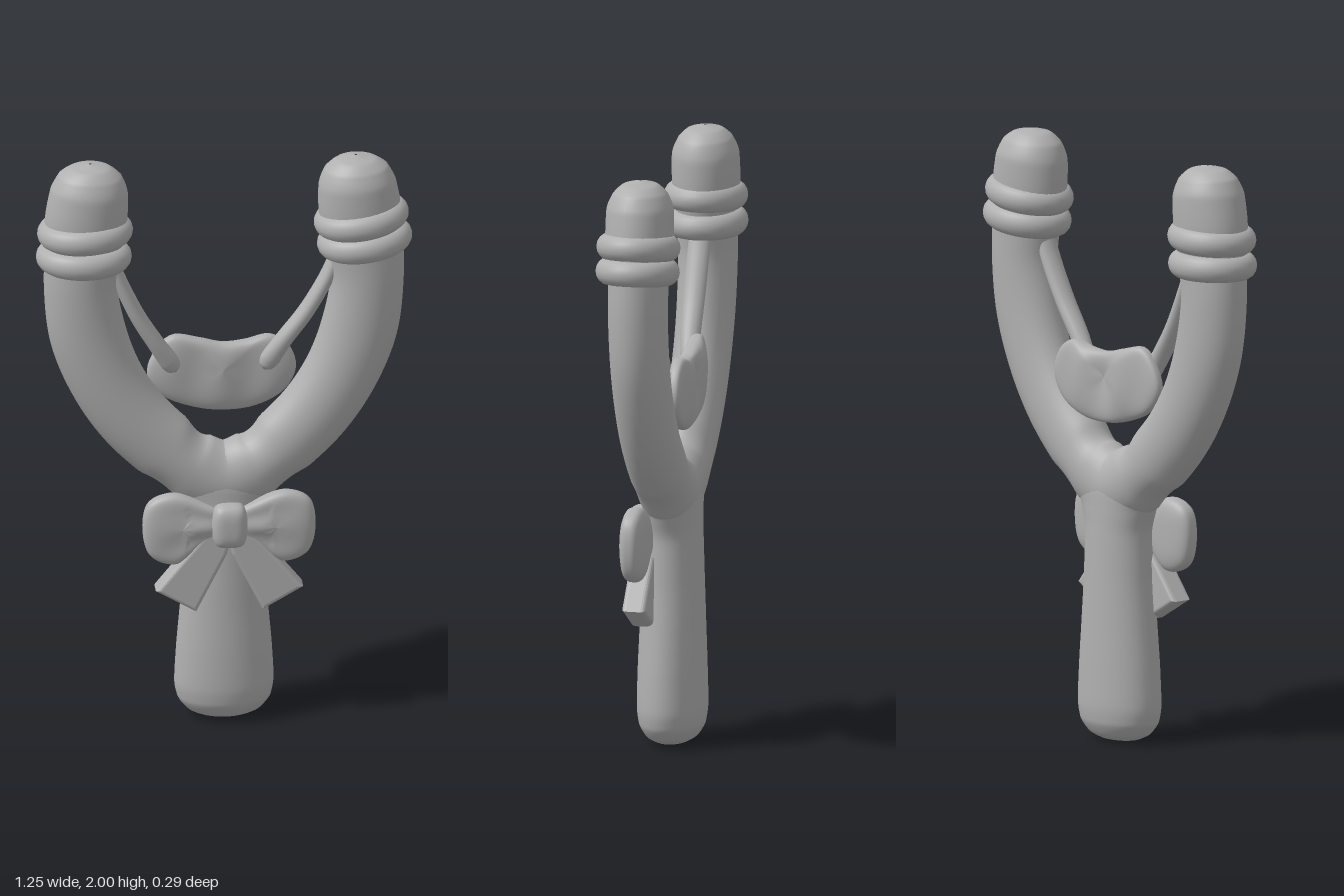
import * as THREE from 'three';

const clay = new THREE.MeshStandardMaterial({ color: 0xb0b0b0 });
clay.name = 'grey clay';

// Smooth skin over rows x cols points, closed around the columns
function skin(rows, cols, point) {
  const pos = [], index = [];
  for (let i = 0; i < rows; i++)
    for (let j = 0; j < cols; j++) pos.push(...point(i / (rows - 1), j / cols));
  for (let i = 0; i < rows - 1; i++)
    for (let j = 0; j < cols; j++) {
      const k = (j + 1) % cols;
      const a = i * cols + j, b = i * cols + k, c = a + cols, d = b + cols;
      index.push(a, c, b, b, c, d);
    }
  const g = new THREE.BufferGeometry();
  g.setAttribute('position', new THREE.Float32BufferAttribute(pos, 3));
  g.setIndex(index);
  g.computeVertexNormals();
  return g;
}

// Elliptical sweep; each station is [x, y, z, radius in plane, radius in depth]
function sweep(stations, rows = 80, cols = 32) {
  const path = new THREE.CatmullRomCurve3(stations.map(s => new THREE.Vector3(s[0], s[1], s[2])));
  const size = new THREE.CatmullRomCurve3(stations.map(s => new THREE.Vector3(s[3], s[4], 0)));
  return skin(rows, cols, (u, v) => {
    const p = path.getPoint(u), r = size.getPoint(u), t = path.getTangent(u);
    const l = Math.hypot(t.x, t.y) || 1, a = v * Math.PI * 2;
    const c = Math.cos(a) * r.x;
    return [p.x + t.y / l * c, p.y - t.x / l * c, p.z + Math.sin(a) * r.y];
  });
}

// Soft cushion filling an outline in x, y; relief shifts the depth by a rule
function cushion(outline, z, thick, relief = () => 0) {
  const pts = outline.map(p => new THREE.Vector2(p[0], p[1]));
  if (THREE.ShapeUtils.area(pts) < 0) pts.reverse();
  const curve = new THREE.CatmullRomCurve3(pts.map(p => new THREE.Vector3(p.x, p.y, 0)), true);
  const mid = pts.reduce((m, p) => m.add(p), new THREE.Vector2()).divideScalar(pts.length);
  return skin(33, 64, (u, v) => {
    const phi = (0.5 - u) * Math.PI, p = curve.getPoint(v);
    const s = Math.pow(Math.max(Math.cos(phi), 0), 0.6);
    const x = mid.x + (p.x - mid.x) * s, y = mid.y + (p.y - mid.y) * s;
    const h = Math.sign(Math.sin(phi)) * Math.pow(Math.abs(Math.sin(phi)), 0.7) * thick;
    return [x, y, z + h + relief(x, y, s, h)];
  });
}

export function createModel() {
  const model = new THREE.Group();
  model.name = 'slingshot';
  const add = (name, geometry, parent = model) => {
    const mesh = new THREE.Mesh(geometry, clay);
    mesh.name = name;
    parent.add(mesh);
    return mesh;
  };

  // Handle, flaring at the top into the fork
  add('handle', sweep([
    [0, 0.002, -0.005, 0.005, 0.004], [0, 0.008, -0.005, 0.075, 0.05], [0, 0.028, -0.005, 0.122, 0.084],
    [0, 0.07, -0.005, 0.155, 0.108], [0, 0.13, -0.005, 0.165, 0.115], [0, 0.25, -0.005, 0.159, 0.113],
    [0, 0.4, -0.006, 0.146, 0.108], [0, 0.55, -0.006, 0.134, 0.104], [0, 0.7, -0.006, 0.13, 0.1],
    [0, 0.79, -0.006, 0.155, 0.097], [0, 0.86, -0.006, 0.195, 0.093], [0, 0.92, -0.006, 0.13, 0.06],
    [0, 0.94, -0.006, 0.005, 0.005]]));

  // U-shaped fork with rounded tips
  const arm = [
    [0.1, 0.895, -0.006, 0.12, 0.095], [0.2, 0.975, -0.006, 0.12, 0.095], [0.305, 1.085, -0.006, 0.122, 0.095],
    [0.39, 1.22, -0.006, 0.124, 0.095], [0.45, 1.38, -0.006, 0.127, 0.096], [0.475, 1.55, -0.006, 0.122, 0.098],
    [0.468, 1.68, -0.006, 0.128, 0.1], [0.452, 1.8, -0.005, 0.137, 0.112], [0.442, 1.9, -0.005, 0.129, 0.111],
    [0.439, 1.955, -0.005, 0.106, 0.09], [0.438, 1.985, -0.005, 0.066, 0.058], [0.438, 1.998, -0.005, 0.004, 0.004]];
  const otherArm = arm.map(s => [-s[0] - (s[1] > 1.75 ? 0.005 : 0), ...s.slice(1)]).reverse();
  add('fork', sweep([...otherArm, [0, 0.855, -0.006, 0.125, 0.095], ...arm], 180));

  // Two wrapped rings on each tip: x, y, tilt
  for (const [x, y, tilt] of [[-0.461, 1.757, 0.05], [-0.465, 1.668, 0], [0.456, 1.776, 0.15], [0.467, 1.696, 0.13]]) {
    const g = new THREE.TorusGeometry(0.115, 0.044, 16, 48);
    g.rotateX(Math.PI / 2);
    g.scale(1, 1, 0.87);
    const ring = add('wrapRing', g);
    ring.position.set(x, y, -0.003);
    ring.rotation.z = tilt;
  }

  // Elastic bands from the tips to the pouch
  for (const side of [-1, 1]) {
    const dx = side < 0 ? 0 : -0.025;
    add('elasticBand', sweep([
      [side * 0.385, 1.67, -0.005, 0.024, 0.036], [side * 0.345, 1.57, -0.005, 0.025, 0.038],
      [side * (0.285 + dx / 2), 1.44, -0.006, 0.027, 0.037], [side * (0.225 + dx), 1.34, -0.01, 0.029, 0.034],
      [side * (0.18 + dx), 1.27, -0.016, 0.033, 0.028], [side * (0.165 + dx), 1.243, -0.018, 0.024, 0.02],
      [side * (0.158 + dx), 1.23, -0.02, 0.003, 0.003]], 40, 20));
  }

  // Pouch, softly folded along the middle
  add('pouch', cushion([
    [-0.17, 1.35], [-0.08, 1.335], [0, 1.315], [0.08, 1.32], [0.16, 1.335], [0.22, 1.295], [0.245, 1.215],
    [0.205, 1.135], [0.11, 1.085], [0, 1.075], [-0.1, 1.092], [-0.205, 1.14], [-0.252, 1.215], [-0.225, 1.3]],
    -0.057, 0.036, (x, y, s, h) =>
      (h < 0 ? 1 : 0.5) * 0.018 * (1 - s) * Math.cos(x * 32) - 0.012 * x / 0.25));

  // Bow on the front: loops, tails and knot
  const bow = new THREE.Group();
  bow.name = 'bow';
  bow.position.x = 0.01;
  model.add(bow);
  const loop = [[0.02, 0.76], [0.09, 0.8], [0.19, 0.832], [0.268, 0.8], [0.287, 0.7],
    [0.26, 0.612], [0.178, 0.582], [0.09, 0.645], [0.02, 0.68]];
  const tail = [[0.0, 0.69], [0.02, 0.62], [0.115, 0.43], [0.228, 0.495], [0.07, 0.69]];
  for (const side of [-1, 1]) {
    const flip = p => [p[0] * side, p[1]];
    // dished front with pleats running out of the knot
    add('bowLoop', cushion(loop.map(flip), 0.075, 0.044, (x, y, s, h) => {
      const d = Math.abs(x), pleat = Math.cos((y - 0.715) / (d + 0.05) * 9);
      return h > 0 ? 0.012 * pleat * (1 - s) * (d < 0.14 ? 1 : 0.5) - 0.012 * (1 - s) : 0;
    }), bow);
    const shape = new THREE.Shape(tail.map(p => new THREE.Vector2(...flip(p))));
    const g = new THREE.ExtrudeGeometry(shape, {
      depth: 0.05, bevelThickness: 0.015, bevelSize: 0.014, bevelOffset: -0.002, bevelSegments: 4 });
    g.translate(0, 0, 0.042);
    add('bowTail', g, bow);
  }
  add('bowKnot', cushion([[-0.045, 0.79], [0, 0.8], [0.045, 0.79], [0.06, 0.72], [0.045, 0.655],
    [0, 0.645], [-0.045, 0.655], [-0.06, 0.72]], 0.095, 0.05), bow);

  return model;
}
